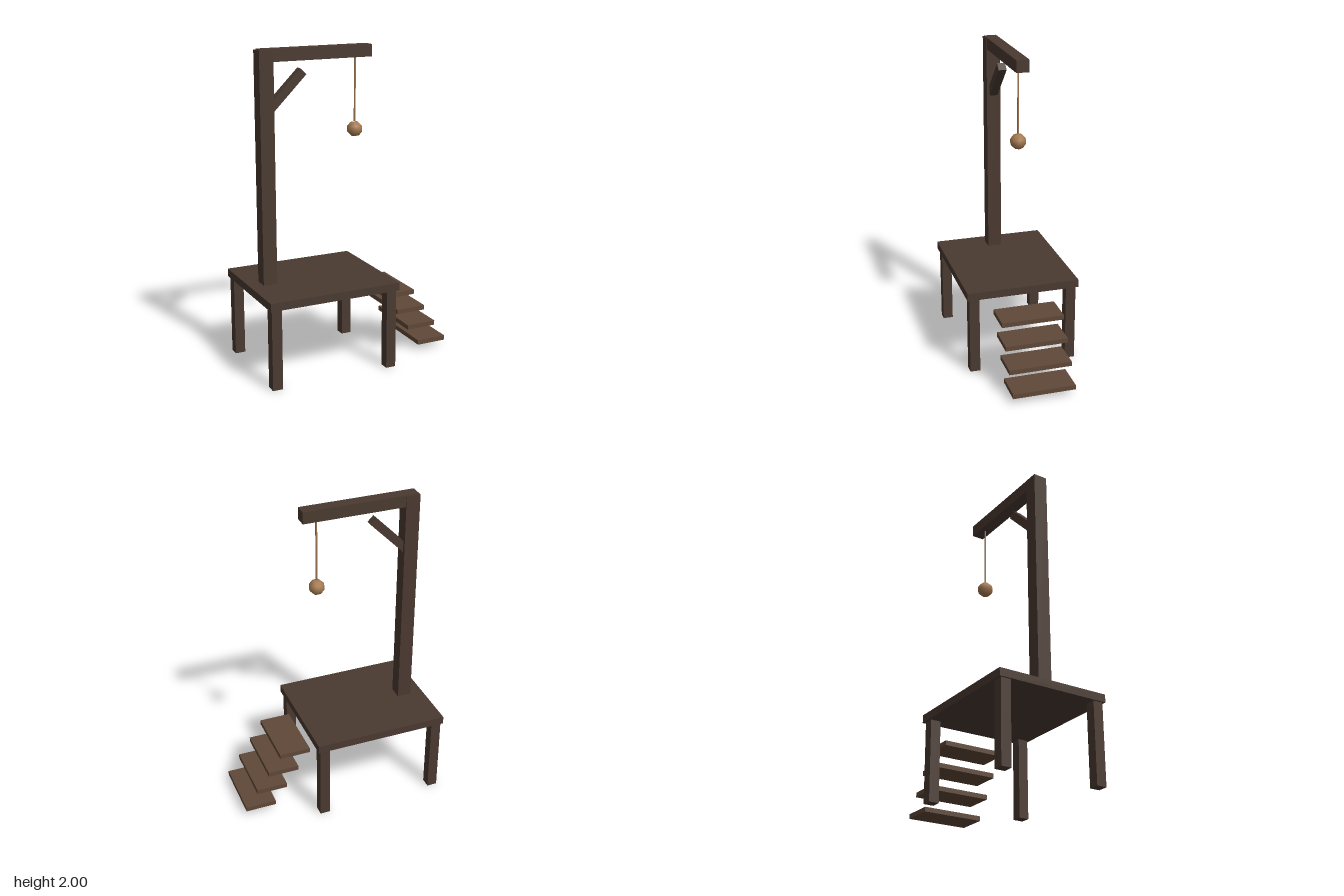
import * as THREE from 'three';

const darkWood = new THREE.MeshStandardMaterial({ color: 0x4a3a30 });
const stepWood = new THREE.MeshStandardMaterial({ color: 0x5f4838 });
const ropeFibre = new THREE.MeshStandardMaterial({ color: 0xa67b52 });

export function createModel() {
  const model = new THREE.Group();

  const add = (name, geometry, material, x, y, z = 0) => {
    const mesh = new THREE.Mesh(geometry, material);
    mesh.name = name;
    mesh.position.set(x, y, z);
    model.add(mesh);
    return mesh;
  };
  const box = (name, w, h, d, x, y, z, material = darkWood) =>
    add(name, new THREE.BoxGeometry(w, h, d), material, x, y, z);

  // Platform on four legs
  box('deck', 0.86, 0.05, 0.73, -0.22, 0.535, 0);
  for (const x of [-0.607, 0.163]) {
    for (const z of [-0.318, 0.318]) box('leg', 0.065, 0.51, 0.065, x, 0.255, z);
  }

  // Upright post, overhead beam and diagonal brace
  box('post', 0.09, 1.435, 0.09, -0.52, 1.2775, 0);
  box('beam', 0.73, 0.075, 0.08, -0.188, 1.9625, 0);
  box('brace', 0.35, 0.052, 0.052, -0.399, 1.734, 0).rotation.z = Math.PI / 4;

  // Hanging rope with a faceted knot, its poles along z
  add('rope', new THREE.CylinderGeometry(0.006, 0.006, 0.4, 6), ropeFibre, 0.08, 1.727);
  const knot = new THREE.SphereGeometry(0.05, 8, 6).rotateY(Math.PI / 8).rotateX(Math.PI / 2);
  add('knot', knot, ropeFibre, 0.08, 1.478);

  // Floating stair treads descending towards +x
  for (let i = 0; i < 4; i++) {
    box('step', 0.2, 0.03, 0.4, 0.31 + i * 0.08, 0.416 - i * 0.12, 0, stepWood);
  }

  return model;
}
